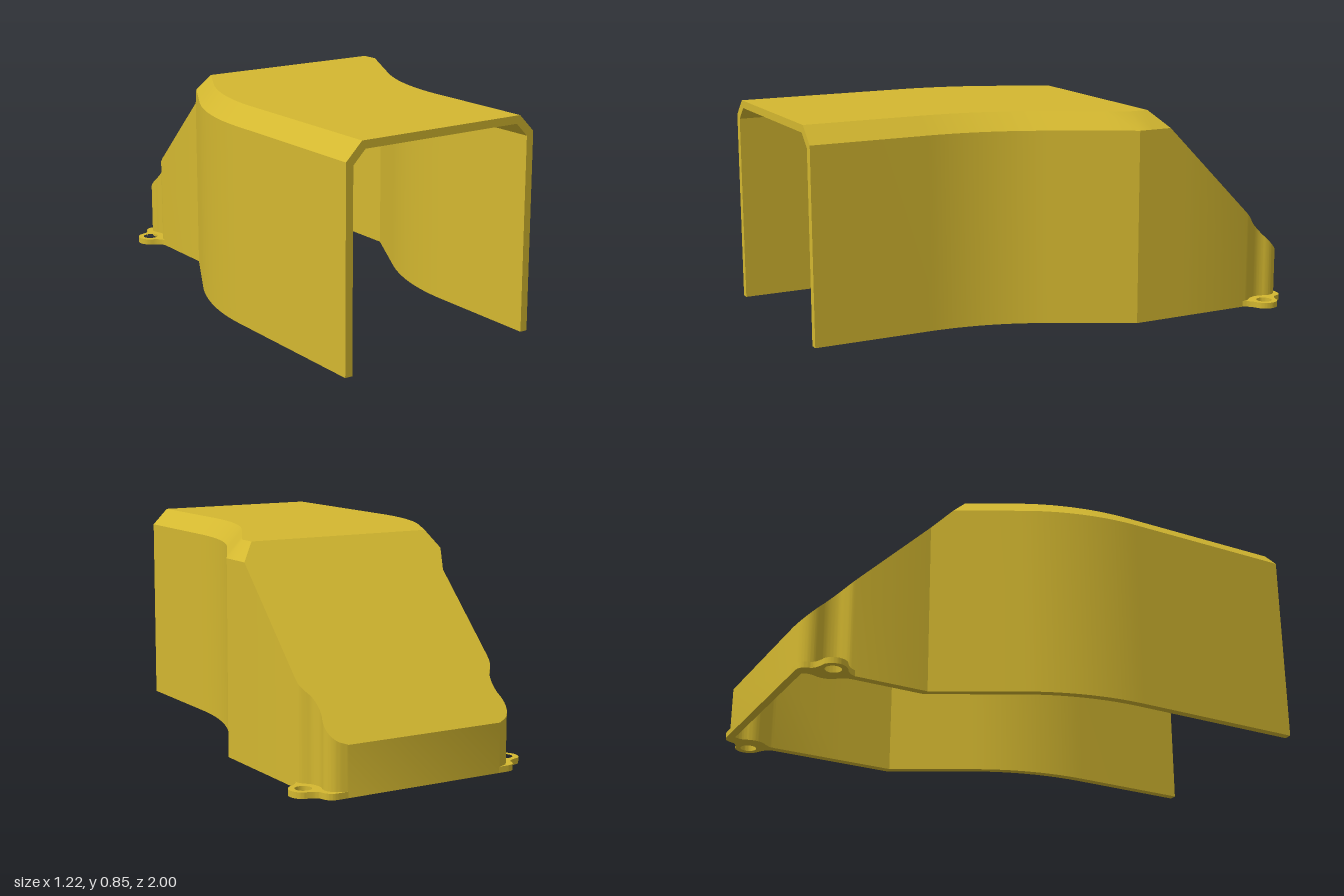
import * as THREE from 'three';
import { toCreasedNormals } from 'three/addons/utils/BufferGeometryUtils.js';

const CENTRE = 0.103, HALF = 0.43;      // centre line and half width of the rear section
const WALL = 0.031, BACK = -1;
const BEND = THREE.MathUtils.degToRad(28), SHIFT = 0.286;
const BEND_LEN = Math.sin(BEND), BEND_X = 1 - Math.cos(BEND);
const BEND_END = BEND_LEN + (SHIFT - BEND_X) / Math.tan(BEND);
const START = { low: 0.3, high: 0.52 }; // z where each side wall begins to bend

// Sideways shift of a wall: straight, unit-radius arc, slanted line, straight
function shift(z, start) {
  const d = start - z;
  if (d <= 0) return 0;
  if (d < BEND_LEN) return 1 - Math.sqrt(1 - d * d);
  return Math.min(SHIFT, BEND_X + (d - BEND_LEN) * Math.tan(BEND));
}

// Recess of the rear walls around the screw ears, with a rounded back corner
const recess = new THREE.CatmullRomCurve3([
  [-0.79, 0], [-0.81, 0.004], [-0.83, 0.018], [-0.85, 0.034], [-0.88, 0.042], [-0.905, 0.04],
  [-0.925, 0.033], [-0.945, 0.031], [-0.965, 0.037], [-0.985, 0.056], [-1, 0.095],
].map(([z, i]) => new THREE.Vector3(i, 0, z))).getPoints(50);

function inset(z) {
  if (z >= recess[0].z) return 0;
  for (let k = 1; k < recess.length; k++) {
    const a = recess[k - 1], b = recess[k];
    if (z >= b.z) return a.x + (b.x - a.x) * (a.z - z) / Math.max(1e-6, a.z - b.z);
  }
  return recess[recess.length - 1].x;
}

// Chamfered arch section at z, cut down by the sloping rear plane
function section(zRow, inner) {
  const z = inner ? Math.max(zRow, BACK + WALL) : zRow;
  const t = inner ? WALL : 0;
  const top = Math.min(inner ? 0.822 : 0.853, z + (inner ? 1.152 : 1.195));
  const shoulder = Math.min(top, inner ? 0.77 : 0.785);
  const c = top - shoulder, n = inset(z) + t;
  const l = CENTRE - HALF - SHIFT + shift(z, START.low) + n;
  const r = CENTRE + HALF - SHIFT + shift(z, START.high) - n;
  return [[l, 0], [l, shoulder], [l + c, top], [r - c, top], [r, shoulder], [r, 0]]
    .map(([x, y]) => new THREE.Vector3(x, y, z));
}

function coverGeometry() {
  const rows = [1, -0.33, -0.342, -0.382, -0.41, ...recess.map((p) => p.z)];
  for (const s of Object.values(START)) {
    for (let k = 0; k <= 16; k++) rows.push(s - BEND_LEN * k / 16);
    rows.push(s - BEND_END);
  }
  rows.sort((a, b) => b - a);
  const zs = rows.filter((z, i) => i === 0 || rows[i - 1] - z > 1e-5);
  const outer = zs.map((z) => section(z, false));
  const inner = zs.map((z) => section(z, true));

  const pos = [];
  const tri = (a, b, c) => {
    const area = b.clone().sub(a).cross(c.clone().sub(a)).length();
    if (area > 1e-9) for (const p of [a, b, c]) pos.push(p.x, p.y, p.z);
  };
  const quad = (a, b, c, d) => { tri(a, b, c); tri(a, c, d); };

  for (let r = 0; r < zs.length - 1; r++) {
    const o = outer[r], p = outer[r + 1], i = inner[r], j = inner[r + 1];
    for (let k = 0; k < 5; k++) {
      quad(o[k], o[k + 1], p[k + 1], p[k]);   // outside skin
      quad(i[k + 1], i[k], j[k], j[k + 1]);   // inside skin
    }
    quad(o[0], p[0], j[0], i[0]);             // bottom edges
    quad(i[5], j[5], p[5], o[5]);
  }
  // Front rim
  const o = outer[0], i = inner[0];
  for (let k = 0; k < 5; k++) quad(o[k], i[k], i[k + 1], o[k + 1]);
  // Back wall: outside, inside and bottom edge
  const e = outer[zs.length - 1], f = inner[zs.length - 1];
  for (let k = 1; k < 5; k++) {
    tri(e[0], e[k], e[k + 1]);
    tri(f[0], f[k + 1], f[k]);
  }
  quad(e[0], e[5], f[5], f[0]);

  const g = new THREE.BufferGeometry();
  g.setAttribute('position', new THREE.Float32BufferAttribute(pos, 3));
  return toCreasedNormals(g, 0.42);
}

// Thin foot plate with a screw hole, hugging the recessed wall
function earGeometry(side) {
  const X = (u) => CENTRE + side * u;
  const hu = 0.451, hw = 0.88, R = 0.055;
  const s = new THREE.Shape();
  s.moveTo(X(0.428), 0.775);
  s.quadraticCurveTo(X(0.432), 0.812, X(hu + R * 0.5), hw - R * 0.866);
  for (let k = 1; k <= 20; k++) {
    const a = (-60 + 6 * k) * Math.PI / 180;
    s.lineTo(X(hu + R * Math.cos(a)), hw + R * Math.sin(a));
  }
  s.quadraticCurveTo(X(0.428), 0.938, X(0.422), 0.96);
  s.quadraticCurveTo(X(0.415), 1, X(0.375), 1);
  s.lineTo(X(0.335), 1);
  s.lineTo(X(0.335), 0.985);
  for (let w = 0.975; w > 0.78; w -= 0.015) s.lineTo(X(HALF - inset(-w) - 0.015), w);
  const hole = new THREE.Path();
  hole.absarc(X(hu), hw, 0.032, 0, Math.PI * 2, true);
  s.holes.push(hole);
  const g = new THREE.ExtrudeGeometry(s, { depth: 0.024, bevelEnabled: false, curveSegments: 14 });
  g.rotateX(-Math.PI / 2);
  return toCreasedNormals(g, 0.5);
}

export function createModel() {
  const model = new THREE.Group();
  model.name = 'ductCover';
  const yellow = new THREE.MeshStandardMaterial({ color: 0xd4b830 });
  yellow.name = 'mustardYellow';

  const add = (name, geometry) => {
    const mesh = new THREE.Mesh(geometry, yellow);
    mesh.name = name;
    model.add(mesh);
  };
  add('curvedCover', coverGeometry());
  add('leftScrewEar', earGeometry(1));
  add('rightScrewEar', earGeometry(-1));
  return model;
}
